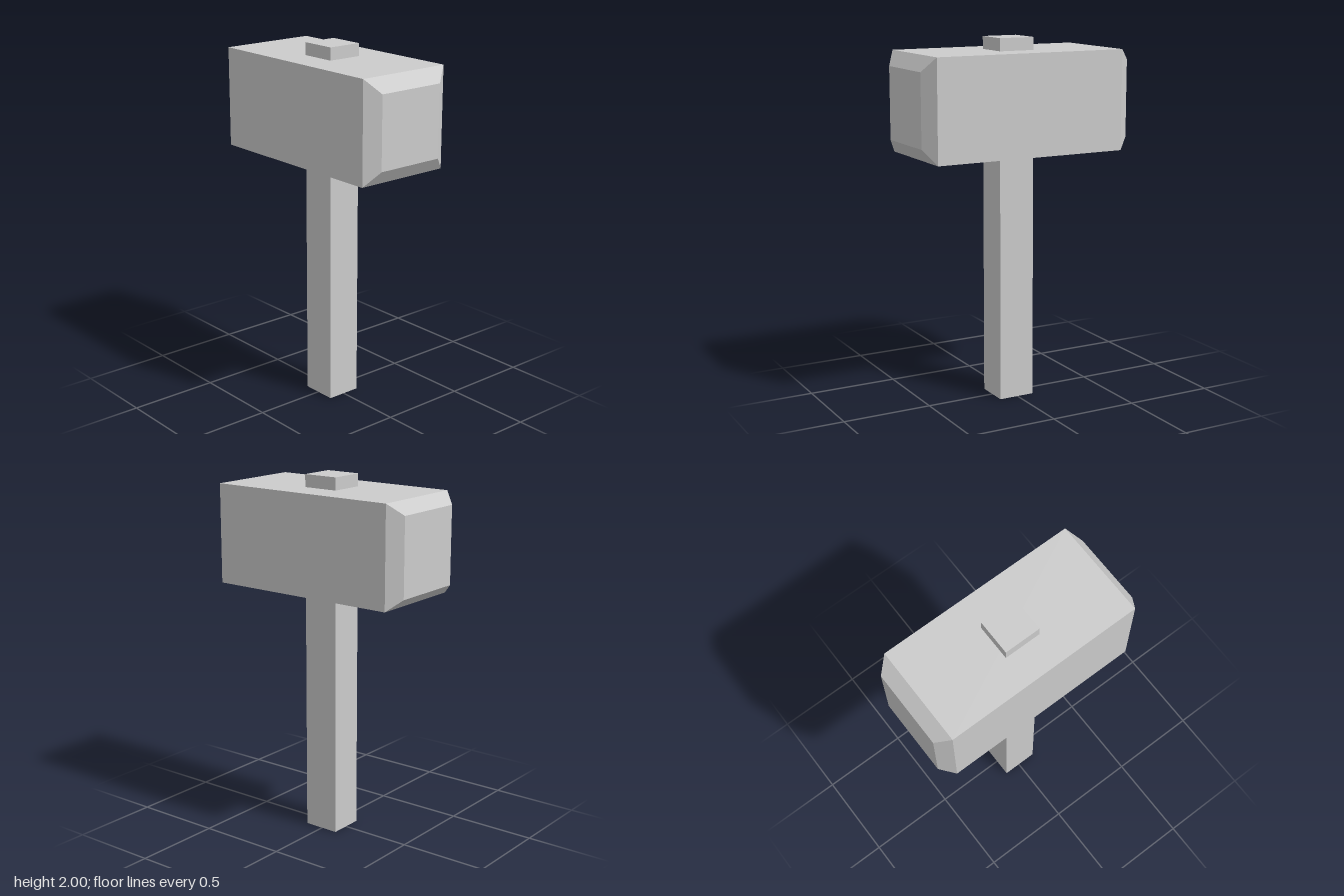
import * as THREE from 'three';

const material = new THREE.MeshStandardMaterial({ color: 0xcccccc, flatShading: true });

// Block along x whose rectangular section changes from station to station
function sectionedBlock(stations) {
  const segments = stations.length - 1;
  const geometry = new THREE.BoxGeometry(segments, 2, 2, segments, 1, 1);
  const pos = geometry.attributes.position;
  for (let i = 0; i < pos.count; i++) {
    const s = stations[Math.round(pos.getX(i) + segments / 2)];
    pos.setXYZ(i, s.x, pos.getY(i) * s.halfHeight, pos.getZ(i) * s.halfDepth);
  }
  const flat = geometry.toNonIndexed();
  flat.computeVertexNormals();
  return flat;
}

export function createModel() {
  const model = new THREE.Group();
  model.name = 'mallet';

  // Square shaft running through the head and standing proud on top
  const handle = new THREE.Mesh(new THREE.BoxGeometry(0.204, 2, 0.196), material);
  handle.name = 'handle';
  handle.position.set(0.006, 1, 0);
  model.add(handle);

  // Heavy head with a chamfered striking face at each end
  const head = new THREE.Mesh(sectionedBlock([
    { x: -0.617, halfHeight: 0.213, halfDepth: 0.213 },
    { x: -0.545, halfHeight: 0.275, halfDepth: 0.275 },
    { x: 0.56, halfHeight: 0.275, halfDepth: 0.275 },
    { x: 0.615, halfHeight: 0.197, halfDepth: 0.197 },
  ]), material);
  head.name = 'head';
  head.position.y = 1.656;
  model.add(head);

  return model;
}
